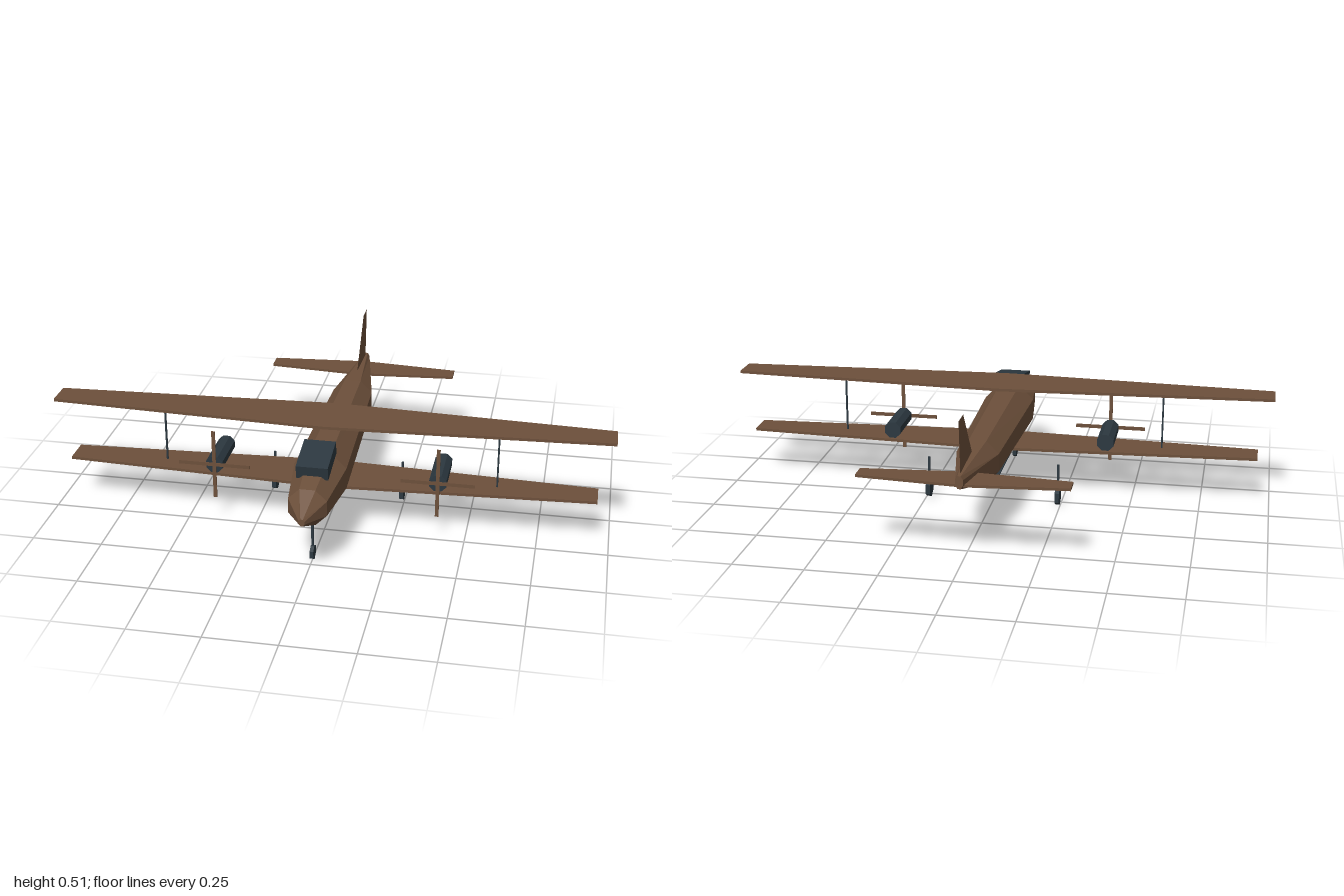
import * as THREE from 'three';

export function createModel() {
  const model = new THREE.Group();
  const brown = new THREE.MeshStandardMaterial({ color: 0x6d503b });
  brown.name = 'brown skin';
  const dark = new THREE.MeshStandardMaterial({ color: 0x2c3840 });
  dark.name = 'dark metal';
  const finSkin = new THREE.MeshStandardMaterial({ color: 0x6d503b, side: THREE.DoubleSide });
  finSkin.name = 'brown fin';

  // Faceted mesh placed at a point
  function add(name, geometry, material, x = 0, y = 0, z = 0) {
    const flat = geometry.index ? geometry.toNonIndexed() : geometry;
    flat.computeVertexNormals();
    const mesh = new THREE.Mesh(flat, material);
    mesh.name = name;
    mesh.position.set(x, y, z);
    model.add(mesh);
    return mesh;
  }
  const box = (w, h, d) => new THREE.BoxGeometry(w, h, d);

  // Octagonal loft through [z, centre y, half width, half height], front to back
  function loft(stations) {
    const points = [], index = [], n = 8, k = 1 / Math.cos(Math.PI / n);
    for (const [z, y, hw, hh] of stations) {
      for (let i = 0; i < n; i++) {
        const a = (i + 0.5) * 2 * Math.PI / n;
        points.push(hw * k * Math.cos(a), y + hh * k * Math.sin(a), z);
      }
    }
    for (let s = 0; s < stations.length - 1; s++) {
      for (let i = 0; i < n; i++) {
        const a = s * n + i, b = s * n + (i + 1) % n;
        index.push(a, a + n, b, b, a + n, b + n);
      }
    }
    const last = (stations.length - 1) * n;
    for (let i = 1; i < n - 1; i++) {
      index.push(0, i, i + 1, last, last + i + 1, last + i);
    }
    const geometry = new THREE.BufferGeometry();
    geometry.setAttribute('position', new THREE.Float32BufferAttribute(points, 3));
    geometry.setIndex(index);
    return geometry;
  }

  // Tapered flat wing, mirrored about the centre line
  function wing(span, rootFront, rootBack, tipFront, tipBack, thickness) {
    const shape = new THREE.Shape([
      [0, rootBack], [span, tipBack], [span, tipFront],
      [0, rootFront], [-span, tipFront], [-span, tipBack],
    ].map(([x, z]) => new THREE.Vector2(x, z)));
    const geometry = new THREE.ExtrudeGeometry(shape, { depth: thickness, bevelEnabled: false });
    return geometry.rotateX(Math.PI / 2).translate(0, thickness / 2, 0);
  }

  // Fuselage
  add('fuselage', loft([
    [0.636, 0.237, 0.01, 0.0125],
    [0.54, 0.245, 0.066, 0.065],
    [0.32, 0.2485, 0.092, 0.0915],
    [-0.32, 0.2575, 0.074, 0.0775],
    [-0.635, 0.298, 0.013, 0.0225],
  ]), brown);

  // Cockpit canopy, tipped down at the front
  add('canopy', box(0.11, 0.049, 0.152), dark, 0, 0.3475, 0.389).rotation.x = 0.2;

  // Wings and tail
  add('upperWing', wing(1, 0.254, 0.052, 0.202, 0.103, 0.01), brown, 0, 0.402, 0);
  add('lowerWing', wing(0.95, 0.254, 0.052, 0.202, 0.103, 0.01), brown, 0, 0.175, 0);
  add('tailplane', wing(0.36, -0.502, -0.625, -0.532, -0.595, 0.009), brown, 0, 0.283, 0);

  // Tail fin: a single upright sheet
  const finShape = new THREE.Shape([[0.417, 0.325], [0.612, 0.31], [0.635, 0.507], [0.56, 0.507]]
    .map(([z, y]) => new THREE.Vector2(z, y)));
  add('tailFin', new THREE.ShapeGeometry(finShape).rotateY(Math.PI / 2), finSkin);

  // Belly plate
  add('bellyPlate', box(0.09, 0.004, 0.314), dark, 0, 0.147, 0);

  // Landing gear: hexagonal wheel on a thin leg
  function gear(name, x, z, radius, width) {
    const wheel = new THREE.CylinderGeometry(radius, radius, width, 6)
      .rotateY(Math.PI / 2).rotateZ(Math.PI / 2);
    // Turn the hexagon so that a corner points down
    wheel.computeBoundingBox();
    if (wheel.boundingBox.max.y < radius * 0.95) wheel.rotateX(Math.PI / 6);
    add(name + 'Wheel', wheel, dark, x, radius, z);
    add(name + 'Leg', box(0.008, 0.155 - radius, 0.008), dark, x, (0.155 + radius) / 2, z);
  }
  gear('noseGear', 0, 0.46, 0.027, 0.013);

  for (const side of [1, -1]) {
    const label = side > 0 ? 'left' : 'right';
    const x = 0.4 * side;
    gear(label + 'MainGear', 0.24 * side, -0.025, 0.036, 0.016);
    add(label + 'WingStrut', box(0.006, 0.225, 0.006), dark, 0.6 * side, 0.288, 0.155);

    // Engine with a four-bladed propeller
    add(label + 'Engine', loft([[0.243, 0, 0.03, 0.03], [0.065, 0, 0.03, 0.03]]), dark, x, 0.218, 0);
    add(label + 'PropellerUpright', box(0.013, 0.26, 0.004), brown, x, 0.219, 0.2435);
    add(label + 'PropellerLevel', box(0.26, 0.013, 0.004), brown, x, 0.219, 0.2435);
  }
  return model;
}
